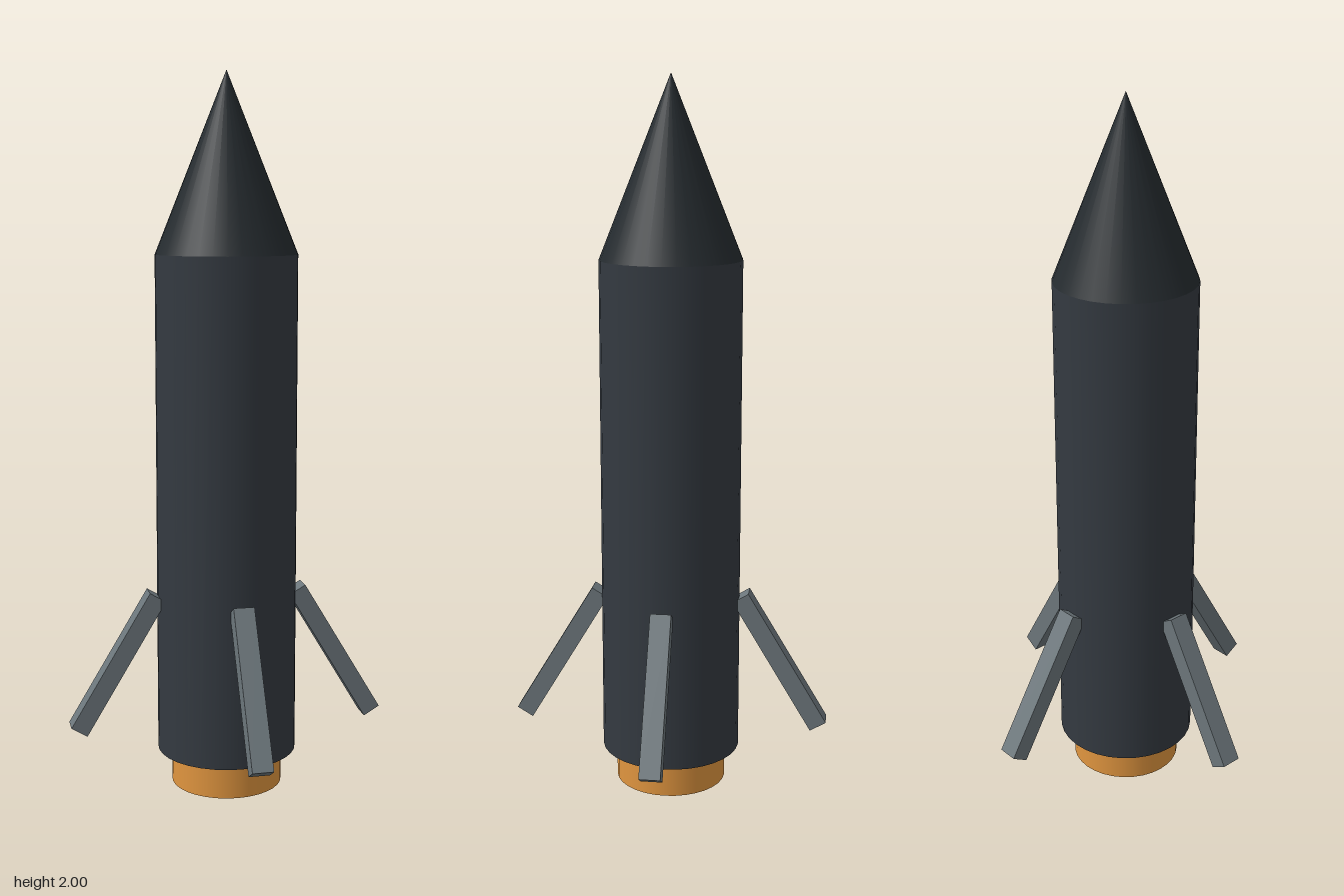
import * as THREE from 'three';

function addPart(parent, name, geometry, color, y) {
  const mesh = new THREE.Mesh(geometry, new THREE.MeshStandardMaterial({ color }));
  mesh.name = name;
  mesh.position.y = y;
  parent.add(mesh);
  return mesh;
}

export function createModel() {
  const group = new THREE.Group();
  group.name = 'rocket';

  const radius = 0.197, nozzleTop = 0.1, bodyTop = 1.507, tip = 2;

  // Engine nozzle, main body and nose cone stacked along y
  addPart(group, 'nozzle', new THREE.CylinderGeometry(0.157, 0.157, nozzleTop, 32), 0xe0953f, nozzleTop / 2);
  addPart(group, 'body', new THREE.CylinderGeometry(radius, radius, bodyTop - nozzleTop, 32), 0x343a41, (bodyTop + nozzleTop) / 2);
  addPart(group, 'noseCone', new THREE.ConeGeometry(radius, tip - bodyTop, 32), 0x252b2f, (tip + bodyTop) / 2);

  // Four splayed struts, one per side
  const strutGeometry = new THREE.BoxGeometry(0.052, 0.44, 0.058);
  for (let i = 0; i < 4; i++) {
    const arm = new THREE.Group();
    arm.name = 'fin' + (i + 1);
    arm.rotation.y = (i * Math.PI) / 2;
    const strut = addPart(arm, 'finStrut', strutGeometry, 0x6c767b, 0.367);
    strut.position.x = 0.315;
    strut.rotation.z = 0.54;
    group.add(arm);
  }
  return group;
}
